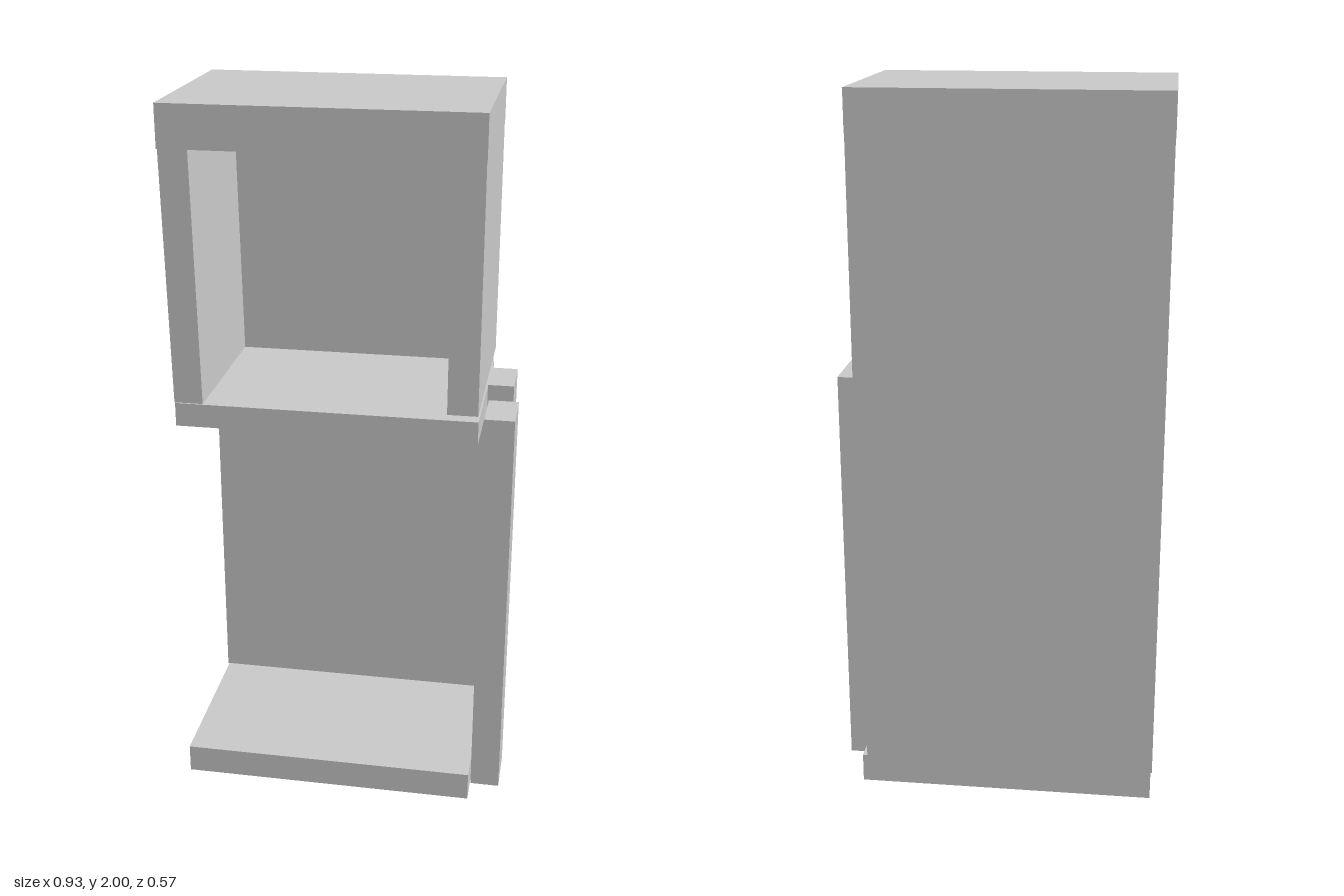
import * as THREE from 'three';

const material = new THREE.MeshStandardMaterial({ color: 0xcccccc, flatShading: true });

// Box given by its extents on each axis
function board(name, [x0, x1], [y0, y1], [z0, z1]) {
  const geometry = new THREE.BoxGeometry(x1 - x0, y1 - y0, z1 - z0);
  geometry.translate((x0 + x1) / 2, (y0 + y1) / 2, (z0 + z1) / 2);
  const mesh = new THREE.Mesh(geometry, material);
  mesh.name = name;
  return mesh;
}

export function createModel() {
  const group = new THREE.Group();
  group.name = 'cabinet';

  // Back and horizontal boards
  group.add(
    board('base', [-0.462, 0.38], [0, 0.083], [-0.283, 0.28]),
    board('backPanel', [-0.466, 0.367], [0.083, 1.885], [-0.283, -0.2]),
    board('topBoard', [-0.467, 0.373], [1.885, 2], [-0.283, 0.278]),
    board('shelf', [-0.45, 0.374], [1.132, 1.198], [-0.2, 0.283]),
  );

  // Compartment walls; the right-hand one in the front view stops just above the shelf
  group.add(board('leftWall', [0.29, 0.372], [1.212, 1.885], [-0.283, 0.278]));
  const rightWall = board('rightWall', [-0.464, -0.385], [1.198, 1.885], [-0.2, 0.278]);
  // Slight lean: the foot sits a little further in
  const p = rightWall.geometry.attributes.position;
  for (let i = 0; i < p.count; i++) {
    if (p.getY(i) < 1.5) p.setX(i, p.getX(i) + 0.011);
  }
  rightWall.geometry.computeVertexNormals();
  group.add(rightWall);

  // Upright posts on the side
  group.add(
    board('frontPost', [0.382, 0.465], [0, 1.175], [0.058, 0.203]),
    board('rearPost', [0.374, 0.447], [0.01, 1.198], [-0.144, 0]),
  );
  return group;
}
